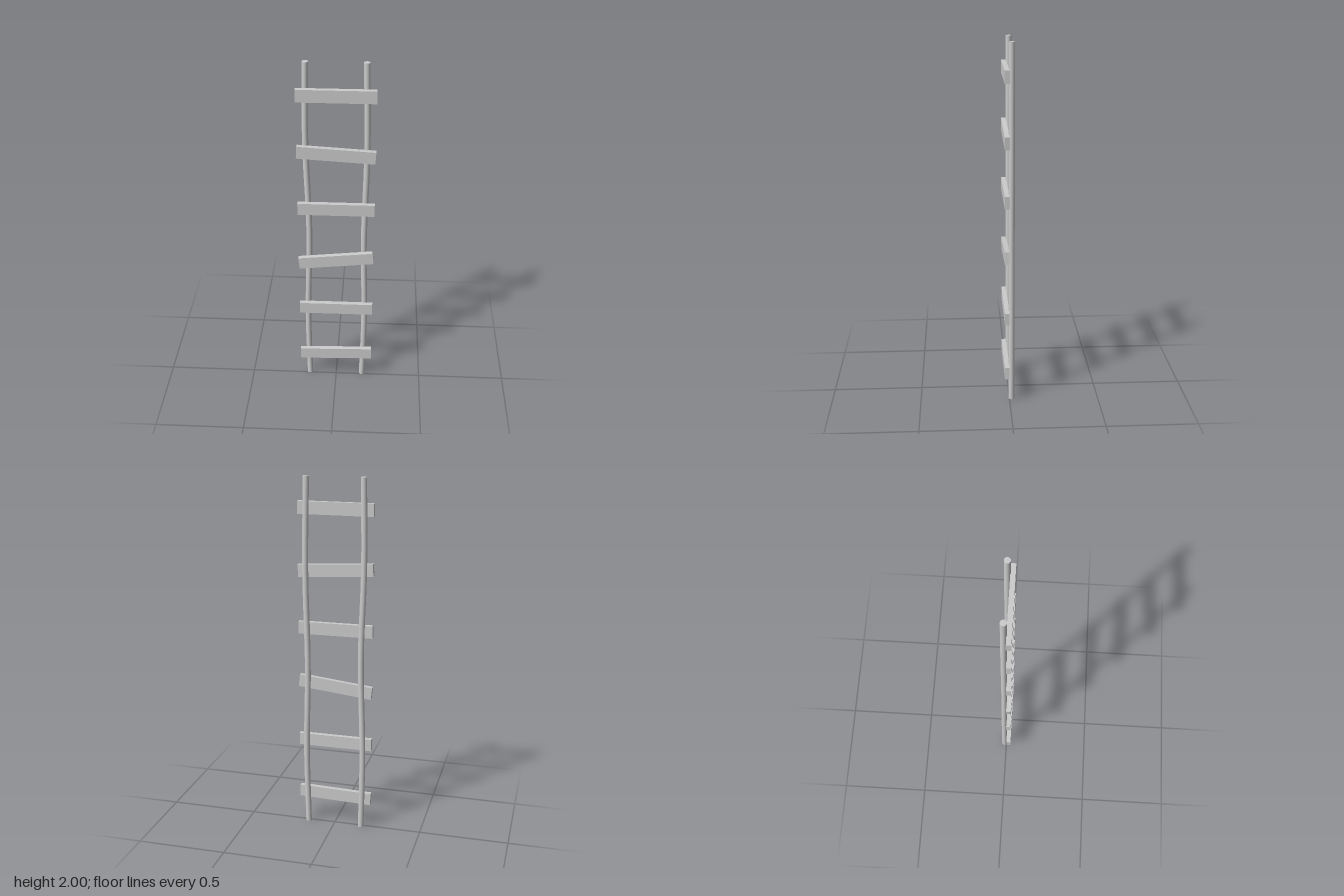
import * as THREE from 'three';

export function createModel() {
  const wood = new THREE.MeshStandardMaterial({ color: 0xcccccc });
  wood.name = 'pale grey wood';
  const group = new THREE.Group();
  group.name = 'ladder';

  // Upright pole whose centre line wanders gently along its height
  function pole(name, centres) {
    const path = new THREE.CatmullRomCurve3(
      centres.map(([x, y]) => new THREE.Vector3(x, y, 0)));
    const samples = path.getPoints(80);
    const centreAt = (y) => {
      let i = 1;
      while (i < samples.length - 1 && samples[i].y < y) i++;
      const a = samples[i - 1], b = samples[i];
      return THREE.MathUtils.lerp(a.x, b.x, (y - a.y) / (b.y - a.y));
    };
    const geo = new THREE.CylinderGeometry(0.0165, 0.0165, 2, 16, 16);
    geo.translate(0, 1, 0);
    const pos = geo.attributes.position;
    for (let i = 0; i < pos.count; i++) {
      pos.setX(i, pos.getX(i) + centreAt(pos.getY(i)));
    }
    const mesh = new THREE.Mesh(geo, wood);
    mesh.name = name;
    mesh.position.z = -0.0115;
    group.add(mesh);
  }
  pole('rightPole', [[-0.157, 0], [-0.163, 0.45], [-0.149, 1.0], [-0.163, 1.55], [-0.157, 2]]);
  pole('leftPole', [[0.154, 0], [0.163, 0.45], [0.153, 0.95], [0.163, 1.5], [0.154, 2]]);

  // Flat rungs across the front, some hanging crooked
  const tilts = [0.027, 0, 0.109, 0, -0.058, 0];
  tilts.forEach((tilt, i) => {
    const rung = new THREE.Mesh(new THREE.BoxGeometry(0.418, 0.069, 0.026), wood);
    rung.name = 'rung' + (i + 1);
    rung.position.set(0, 0.173 + i * 0.331, 0.015);
    rung.rotation.z = tilt;
    group.add(rung);
  });

  return group;
}
